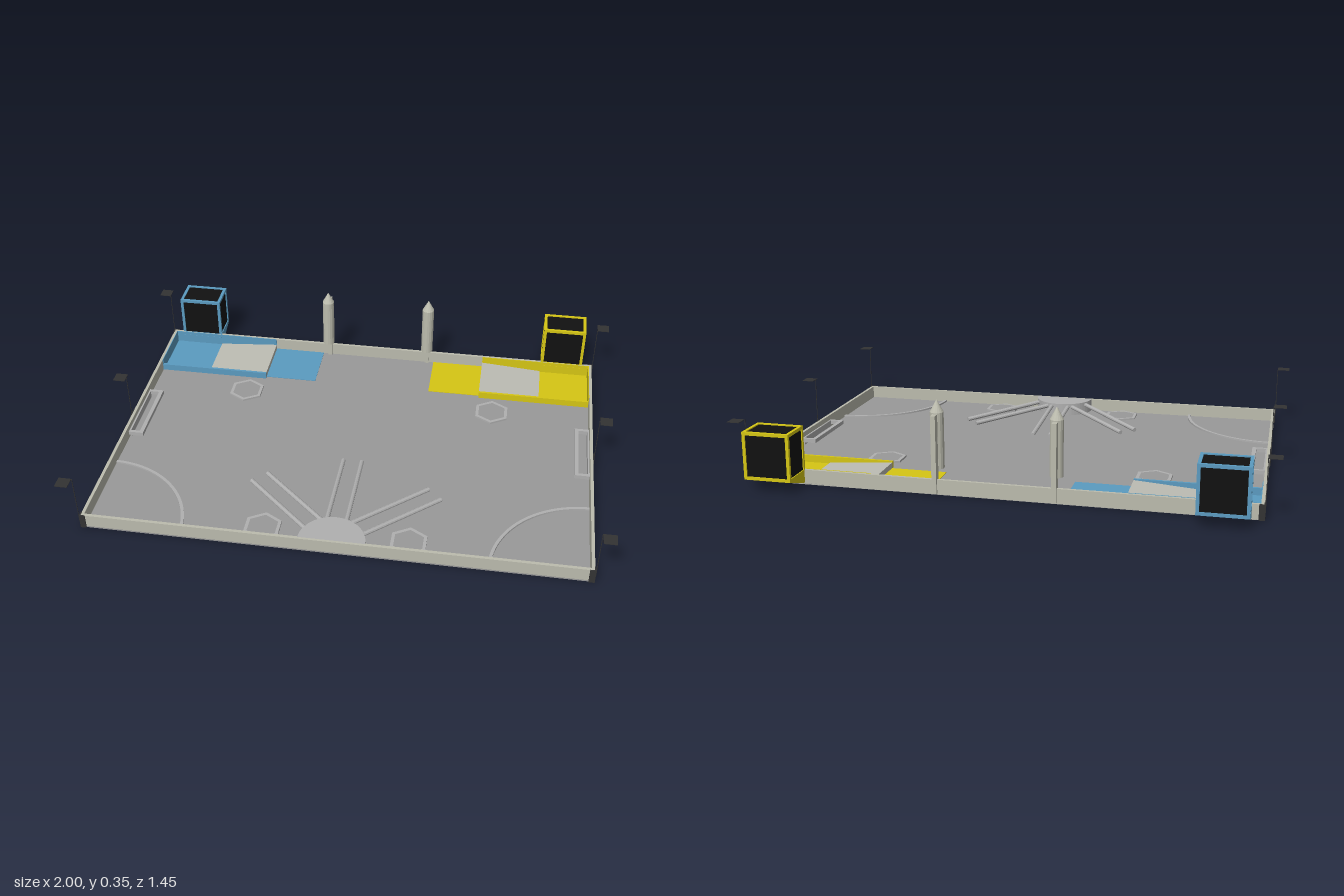
import * as THREE from 'three';

const mat = (color, side = THREE.FrontSide) => new THREE.MeshStandardMaterial({ color, side, flatShading: true });
const WALL = mat(0xbcbcae), FLOOR = mat(0x999999), PALE = mat(0xbdbdb4), BAR = mat(0xb0b0b0);
const BLACK = mat(0x111111), DARK = mat(0x333333), BLUE = mat(0x5b9bc0), YELLOW = mat(0xd6c614);
const X = 0.947, Z0 = -0.604, Z1 = 0.671, H = 0.057, T = 0.012, F = 0.006;

export function createModel() {
  const root = new THREE.Group();
  const add = (name, geo, material, parent = root) => {
    const m = new THREE.Mesh(geo, material);
    m.name = name;
    parent.add(m);
    return m;
  };
  // box given by its minimum and maximum on each axis
  const box = (name, x0, x1, y0, y1, z0, z1, material, parent) => {
    const m = add(name, new THREE.BoxGeometry(Math.abs(x1 - x0), y1 - y0, z1 - z0), material, parent);
    m.position.set((x0 + x1) / 2, (y0 + y1) / 2, (z0 + z1) / 2);
    return m;
  };
  // round bar between two points
  const rod = (name, a, b, r, material, sides = 10) => {
    const p = new THREE.Vector3(...a), d = new THREE.Vector3(...b).sub(p);
    const m = add(name, new THREE.CylinderGeometry(r, r, d.length(), sides), material);
    m.position.copy(p).addScaledVector(d, 0.5);
    m.quaternion.setFromUnitVectors(new THREE.Vector3(0, 1, 0), d.normalize());
    return m;
  };
  // prism from an outline in x and y, extruded along z
  const prism = (name, pts, z0, z1, material, parent) => {
    const shape = new THREE.Shape(pts.map(p => new THREE.Vector2(...p)));
    const m = add(name, new THREE.ExtrudeGeometry(shape, { depth: z1 - z0, bevelEnabled: false }), material, parent);
    m.position.z = z0;
    return m;
  };

  // field floor and perimeter walls
  box('floor', -X, X, 0, F, Z0, Z1, FLOOR);
  box('frontWall', -X, X, 0, H, Z1 - T, Z1, WALL);
  box('backWall', -X, X, 0, H, Z0, Z0 + T, WALL);
  for (const s of [-1, 1]) box('sideWall', s * (X - T), s * X, 0, H, Z0 + T, Z1 - T, WALL);

  // half-round platform against the front wall
  const disc = add('halfPlatform', new THREE.CylinderGeometry(0.125, 0.125, H, 28, 1, false, Math.PI / 2, Math.PI), BAR);
  disc.position.set(0, H / 2 + 0.001, Z1 - 0.008);

  // three pairs of rails fanning out from the platform
  for (const [cx, cz, ang, len] of [[0, 0.54, 0, 0.38], [-0.083, 0.573, -1, 0.37], [0.083, 0.573, 1, 0.37]]) {
    const a = ang * Math.PI / 4, dx = Math.sin(a), dz = -Math.cos(a);
    for (const o of [-0.037, 0.037]) {
      const x = cx - dz * o, z = cz + dx * o;
      rod('rail', [x, 0.045, z], [x + dx * len, 0.018, z + dz * len], 0.009, BAR);
    }
  }

  // hexagonal floor rings
  const ringShape = new THREE.Shape(), hole = new THREE.Path();
  for (let i = 0; i < 6; i++) {
    const a = (i + 0.5) * Math.PI / 3, c = Math.cos(a), s = Math.sin(a), f = i ? 'lineTo' : 'moveTo';
    ringShape[f](0.076 * s, 0.076 * c);
    hole[f](0.062 * s, 0.062 * c);
  }
  ringShape.closePath();
  hole.closePath();
  ringShape.holes.push(hole);
  const hexGeo = new THREE.ExtrudeGeometry(ringShape, { depth: 0.008, bevelEnabled: false });
  hexGeo.rotateZ(Math.PI / 6).rotateX(-Math.PI / 2);
  if (hexGeo.computeBoundingBox() || hexGeo.boundingBox.max.x > 0.07) hexGeo.rotateY(Math.PI / 6);

  for (const s of [-1, 1]) {
    const tint = s < 0 ? BLUE : YELLOW;
    for (const [x, z] of [[0.53, -0.255], [0.275, 0.58]]) add('hexRing', hexGeo, BAR).position.set(s * x, F, z);

    // quarter-circle line in the front corner
    const arc = new THREE.Shape();
    arc.absarc(0, 0, 0.376, 0, Math.PI / 2, false);
    arc.absarc(0, 0, 0.364, Math.PI / 2, 0, true);
    const arcGeo = new THREE.ExtrudeGeometry(arc, { depth: 0.007, bevelEnabled: false, curveSegments: 24 });
    arcGeo.rotateX(-Math.PI / 2).rotateY(s > 0 ? Math.PI / 2 : 0);
    add('cornerArc', arcGeo, BAR).position.set(s * (X - 0.003), F, Z1 - 0.005);

    // side bracket on the long wall
    box('bracketBar', s * 0.875, s * 0.891, 0.02, 0.036, -0.15, 0.122, BAR);
    for (const z of [-0.163, 0.122]) box('bracketArm', s * 0.875, s * (X - T), 0.02, 0.036, z, z + 0.013, BAR);
    box('bracketBack', s * 0.928, s * (X - T), F, 0.036, -0.15, 0.122, BAR);

    // coloured loading zone with its ramp, liners and low barrier
    box('zoneFloor', s * 0.25, s * (X - T), F, F + 0.002, Z0 + T, -0.37, tint);
    const ramp = [[s * 0.725, F], [s * 0.725, 0.011], [s * 0.468, 0.03], [s * 0.468, F]];
    prism('zoneRamp', ramp, Z0 + T + 0.003, -0.366, PALE);
    box('zoneBarrier', s * 0.468, s * (X - T), F, 0.034, -0.366, -0.356, tint);
    box('zoneBackLiner', s * 0.468, s * (X - T), F, H + 0.001, Z0 + T, Z0 + T + 0.003, tint);
    box('zoneSideLiner', s * (X - T - 0.003), s * (X - T), F, H + 0.001, Z0 + T, -0.356, tint);

    // framed bin behind the back wall
    const bin = new THREE.Group();
    bin.name = 'bin';
    root.add(bin);
    const W = 0.09, y0 = 0.045, y1 = 0.225, z0 = -0.727, z1 = -0.596, b = 0.012;
    bin.position.x = s * 0.815;
    box('binPanels', -W + 0.004, W - 0.004, y0 + 0.004, y1 - 0.004, z0 + 0.004, z1 - 0.004, BLACK, bin);
    for (const u of [0, 1]) for (const v of [0, 1]) {
      const x = u ? W - b : -W, y = v ? y1 - b : y0, zu = u ? z1 - b : z0, zv = v ? z1 - b : z0;
      box('binRailX', -W, W, y, y + b, zu, zu + b, tint, bin);
      box('binPost', x, x + b, y0, y1, zv, zv + b, tint, bin);
      box('binRailZ', x, x + b, y, y + b, z0, z1, tint, bin);
    }
    const chute = prism('binChute', [[-z1 - 0.008, 0.001], [-z0, y0], [-z1 - 0.008, y0]], -W, W, tint, bin);
    chute.rotation.y = Math.PI / 2;
    chute.position.set(-W, 0, 0);

    // pointed pillar on its back post
    const px = s * 0.22, pz = -0.563;
    rod('pillar', [px, 0.09, pz], [px, 0.3, pz], 0.025, WALL, 16);
    add('pillarTip', new THREE.ConeGeometry(0.025, 0.046, 16), WALL).position.set(px, 0.323, pz);
    box('pillarPost', px - 0.009, px + 0.009, F, 0.296, -0.614, -0.584, WALL);

    // marker poles with flat plates, and dark wall brackets
    for (const [z, c] of [[Z0, -1], [0.036, 0], [Z1, 1]]) {
      const pzz = z + c * 0.002, zc = z + c * 0.025;
      rod('markerPole', [s * 0.951, 0.03, pzz], [s * 0.951, 0.235, pzz], 0.0015, DARK, 6);
      box('markerPlate', s * 0.952, s, 0.234, 0.236, zc - 0.024, zc + 0.024, DARK);
      const a = c < 0 ? z - 0.003 : z - 0.02, e = c > 0 ? z + 0.003 : z + 0.02;
      box('wallBracket', s * (X - 0.001), s * (X + 0.004), 0, H + 0.001, a, e, DARK);
      if (c) box('wallBracketReturn', s * (X - 0.018), s * (X + 0.004), 0, H + 0.001,
        c > 0 ? z - 0.001 : z - 0.004, c > 0 ? z + 0.004 : z + 0.001, DARK);
    }
  }
  return root;
}
